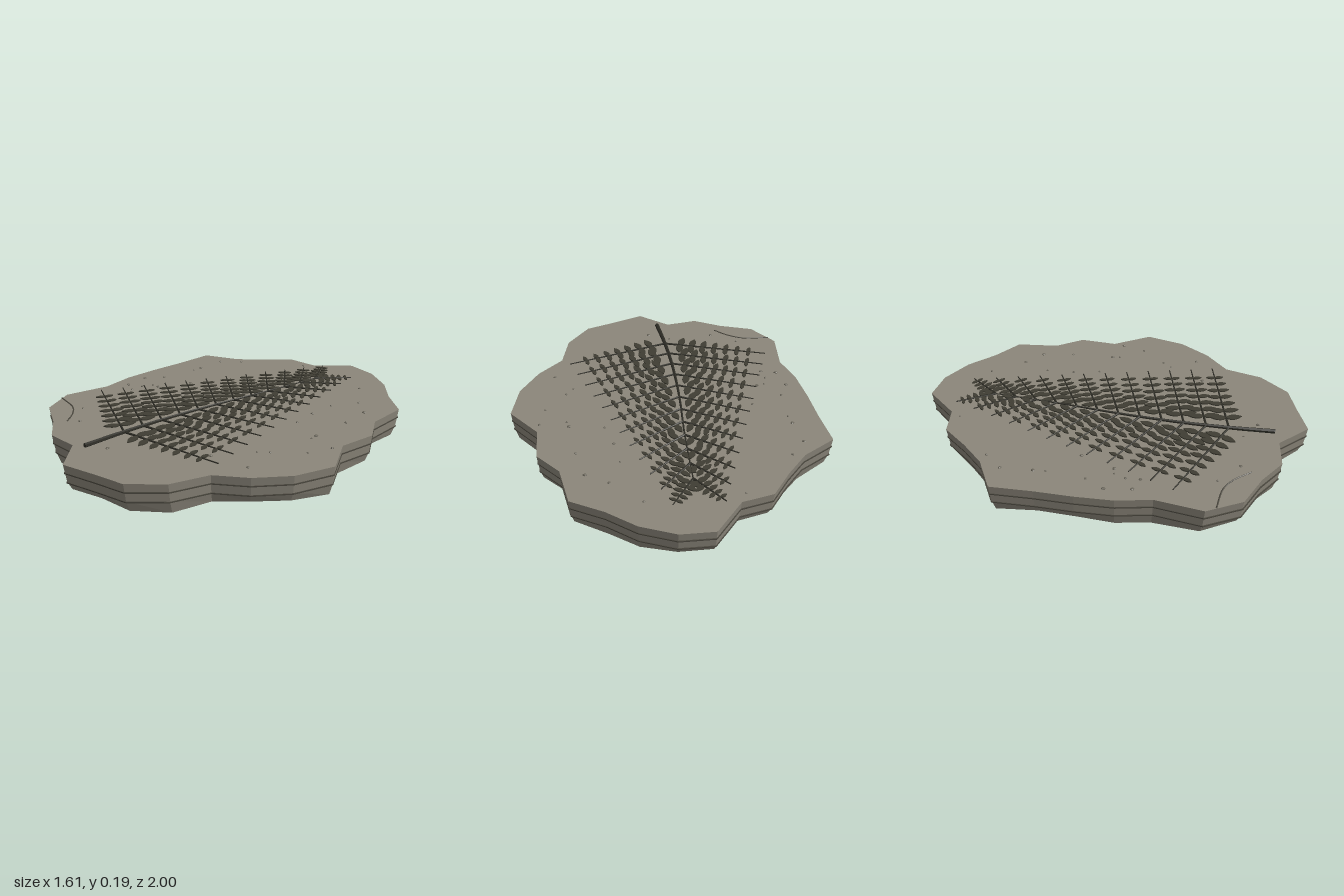
import * as THREE from 'three';

const mat = (name, color, flat = true) => {
  const m = new THREE.MeshStandardMaterial({ color, flatShading: flat });
  m.name = name;
  return m;
};

// Outline of the slab seen from above, as [x, z], running clockwise
const OUTLINE = [
  [-.13, -1], [.04, -1], [.21, -.93], [.35, -.82], [.51, -.73], [.55, -.51], [.66, -.38], [.66, -.18],
  [.8, 0], [.76, .21], [.66, .38], [.53, .51], [.49, .71], [.37, .87], [.21, .93], [.04, 1],
  [-.12, .87], [-.29, .9], [-.44, .82], [-.62, .76], [-.73, .6], [-.71, .36], [-.76, .19], [-.78, 0],
  [-.79, -.19], [-.81, -.4], [-.64, -.51], [-.53, -.64], [-.43, -.78], [-.27, -.82],
];

// Lofts scaled copies of the outline; each ring is [scale, y, unevenness]
function loftOutline(rings) {
  const n = OUTLINE.length, pos = [], index = [];
  for (const [s, y, wave = 0] of rings)
    OUTLINE.forEach(([x, z], i) => pos.push(x * s, y + wave * Math.sin(i * 1.35 + 1), z * s));
  for (let r = 0; r < rings.length - 1; r++)
    for (let i = 0; i < n; i++) {
      const j = (i + 1) % n, a = r * n + i, b = r * n + j;
      index.push(a, b, a + n, b, b + n, a + n);
    }
  const g = new THREE.BufferGeometry();
  g.setAttribute('position', new THREE.Float32BufferAttribute(pos, 3));
  g.setIndex(index);
  const flat = g.toNonIndexed();
  flat.computeVertexNormals();
  return flat;
}

function add(parent, name, geometry, material) {
  const mesh = new THREE.Mesh(geometry, material);
  mesh.name = name;
  parent.add(mesh);
  return mesh;
}

// Tapered rod from a to b
function rod(parent, name, a, b, ra, rb, material) {
  const dir = b.clone().sub(a);
  const mesh = add(parent, name, new THREE.CylinderGeometry(rb, ra, dir.length(), 6), material);
  mesh.position.copy(a).add(b).multiplyScalar(.5);
  mesh.quaternion.setFromUnitVectors(new THREE.Vector3(0, 1, 0), dir.normalize());
  return mesh;
}

export function createModel() {
  const model = new THREE.Group();
  model.name = 'fernFossil';
  const stone = mat('stone', 0x8b867a);
  const strata = mat('strata', 0x4b483f);
  const leafMat = mat('fossilLeaf', 0x3f3d33);
  const stemMat = mat('fossilStem', 0x2e2d26);
  const grit = mat('grit', 0x6b675c);

  // Stone slab, narrowing towards an uneven underside
  add(model, 'slab', loftOutline([[0, .165], [1, .165], [.985, .07], [.962, .016, .013], [0, .022]]), stone);
  // Dark sediment lines around the edge
  for (const [y, s] of [[.119, .992], [.067, .984]])
    add(model, 'sedimentLine', loftOutline([
      [s - .01, y + .004], [s + .006, y + .003], [s + .006, y - .003], [s - .01, y - .004],
    ]), strata);

  // Fern
  const fern = new THREE.Group();
  fern.name = 'fern';
  model.add(fern);
  const Y = .183;
  const stemCurve = new THREE.CatmullRomCurve3(
    [[-.05, .84], [-.075, .61], [-.09, .35], [-.09, .03], [-.075, -.3], [-.07, -.7]]
      .map(([x, z]) => new THREE.Vector3(x, Y, z)));
  const STEPS = 14;
  const stemRadius = (t) => .012 - .009 * t;
  for (let i = 0; i < STEPS; i++) {
    const t0 = i / STEPS, t1 = (i + 1) / STEPS;
    rod(fern, 'mainStem', stemCurve.getPoint(t0), stemCurve.getPoint(t1), stemRadius(t0), stemRadius(t1), stemMat);
  }
  // x of the main stem at a given z
  const samples = stemCurve.getPoints(120);
  const stemX = (z) => samples.reduce((p, q) => (Math.abs(q.z - z) < Math.abs(p.z - z) ? q : p)).x;

  // Leaflet of unit length along +z
  const shape = new THREE.Shape();
  shape.moveTo(0, 0);
  shape.bezierCurveTo(.3, .15, .36, .55, 0, 1);
  shape.bezierCurveTo(-.36, .55, -.3, .15, 0, 0);
  const leafGeo = new THREE.ExtrudeGeometry(shape, { depth: 1, bevelEnabled: false, curveSegments: 5 });
  leafGeo.translate(0, 0, -.5).rotateX(Math.PI / 2);

  // Twelve pairs of side fronds, each with paired leaflets shrinking outwards
  for (let i = 0; i < 12; i++)
    for (const side of [-1, 1]) {
      const z = .61 - .1145 * i;
      const base = new THREE.Vector3(stemX(z), Y, z);
      const tip = new THREE.Vector3(side > 0 ? .485 - .04 * i : -.638 + .04 * i, Y, z - .175);
      rod(fern, 'frondStem', base, tip, .006, .003, stemMat);
      const along = tip.clone().sub(base).normalize();
      const count = Math.round(7 - i * .2);
      for (let k = 0; k < count; k++) {
        const t = .15 + .68 * k / (count - 1);
        const size = (.092 - .045 * t / .83) * (1 - .022 * i);
        for (const edge of [-1, 1]) {
          const leaf = add(fern, 'leaflet', leafGeo, leafMat);
          leaf.position.lerpVectors(base, tip, t);
          const dx = -along.z * edge + along.x * .12, dz = along.x * edge + along.z * .12;
          leaf.rotation.y = Math.atan2(dx, dz);
          leaf.scale.set(size, .006, size);
        }
      }
    }

  // Hairline crack near the front right corner
  const crack = new THREE.CatmullRomCurve3(
    [[-.7, .645], [-.55, .655], [-.47, .695], [-.395, .765]].map(([x, z]) => new THREE.Vector3(x, .166, z)));
  add(model, 'crack', new THREE.TubeGeometry(crack, 16, .004, 5), strata);

  // Grains of grit on the surface
  const grains = [
    [-.3, -.76], [.17, -.77], [.32, -.62], [.43, -.55], [.26, -.47], [-.58, -.5], [-.66, -.4], [-.64, -.24],
    [-.63, -.18], [.47, -.38], [.28, -.32], [.5, -.15], [.51, -.11], [.32, -.18], [-.47, -.05], [-.69, .12],
    [-.57, .14], [-.59, .2], [-.58, .27], [-.53, .13], [.62, .01], [.51, .15], [.57, .33], [.37, .4],
    [-.11, .69], [-.5, .62], [-.36, .71], [.01, .75], [.47, .2], [-.64, .02], [.65, -.12], [-.66, .25],
  ];
  const grainGeo = new THREE.IcosahedronGeometry(1, 0);
  grains.forEach(([x, z], i) => {
    const grain = add(model, 'grain', grainGeo, grit);
    const r = .006 + .002 * (i % 4);
    grain.position.set(x, .166, z);
    grain.rotation.y = i;
    grain.scale.set(r, .006, r * .85);
  });
  return model;
}
